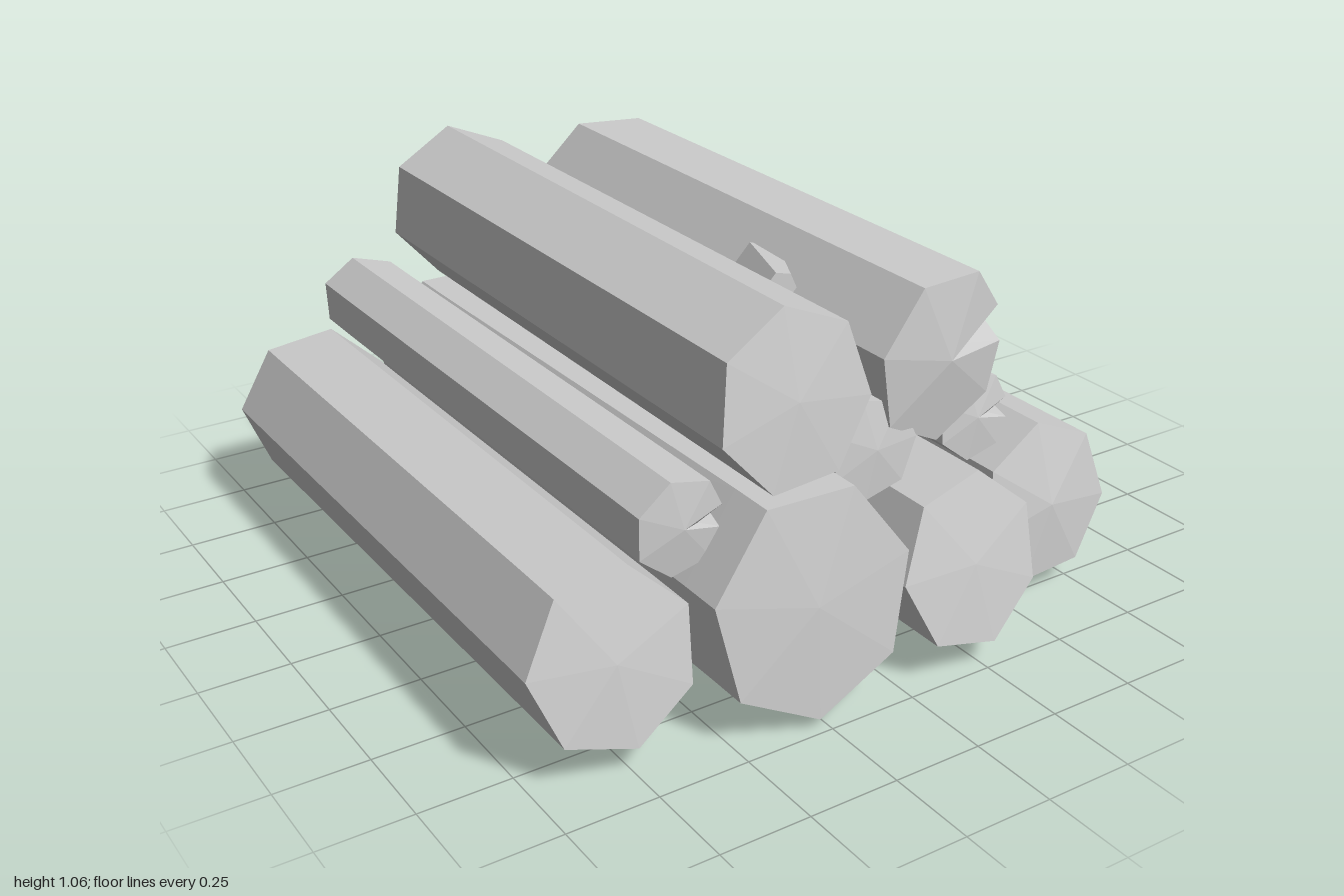
import * as THREE from 'three';

const SIDES = 7;
const material = new THREE.MeshStandardMaterial({ color: 0xcccccc, flatShading: true });

// Seven-sided outline, clockwise seen from the front; phase is the angle of corner 0 in degrees
function heptagon(cx, cy, rx, ry, phase) {
  return Array.from({ length: SIDES }, (_, i) => {
    const a = THREE.MathUtils.degToRad(phase) - (2 * Math.PI * i) / SIDES;
    return [cx + rx * Math.cos(a), cy + ry * Math.sin(a)];
  });
}

// Replace corner k by three points so that the middle one can be pulled inwards as a split
function splitCorner(points, k) {
  const p = points[k];
  const toward = (q) => [p[0] + (q[0] - p[0]) * 0.3, p[1] + (q[1] - p[1]) * 0.3];
  const out = points.slice();
  out.splice(k, 1, toward(points[(k + SIDES - 1) % SIDES]), p, toward(points[(k + 1) % SIDES]));
  return out;
}

// A log: outline swept from front to back, with slanted, slightly domed ends and an optional split
function makeLog(name, { cx, cy, rx, ry = rx, phase = 0, front, back, frontTilt = [0, 0],
  backTilt = [0, 0], shift = [0, 0], split = -1, splitEnd = 'front', dome = 0.015 }) {
  const outline = heptagon(cx, cy, rx, ry, phase);
  const pts = split >= 0 ? splitCorner(outline, split) : outline;
  const n = pts.length;

  // One ring of corners; t = 0 at the front end, 1 at the back end
  const ring = (t, inset, isSplit) => pts.map(([x, y], i) => {
    const pull = isSplit && i === split + 1 ? 0.35 : 1;
    const dx = (x - cx) * pull, dy = (y - cy) * pull;
    const tilt = t === 0 ? frontTilt : backTilt;
    const z = (t === 0 ? front - inset : back + inset) + tilt[0] * dx + tilt[1] * dy;
    return [cx + dx + shift[0] * t, cy + dy + shift[1] * t, z];
  });
  const hasSplit = split >= 0;
  const rings = [
    ring(0, 0, hasSplit && splitEnd === 'front'), ring(0, 0.13, false),
    ring(1, 0.13, false), ring(1, 0, hasSplit && splitEnd === 'back'),
  ];
  const frontCentre = [cx, cy, front + dome];
  const backCentre = [cx + shift[0], cy + shift[1], back - dome];

  const verts = [];
  const tri = (...corners) => corners.forEach((v) => verts.push(...v));
  for (let i = 0; i < n; i++) {
    const j = (i + 1) % n;
    for (let r = 0; r < 3; r++) {
      const f = rings[r], b = rings[r + 1];
      tri(b[i], f[i], f[j]);
      tri(b[i], f[j], b[j]);
    }
    tri(frontCentre, rings[0][j], rings[0][i]);
    tri(backCentre, rings[3][i], rings[3][j]);
  }
  const geo = new THREE.BufferGeometry();
  geo.setAttribute('position', new THREE.Float32BufferAttribute(verts, 3));
  geo.computeVertexNormals();
  const mesh = new THREE.Mesh(geo, material);
  mesh.name = name;
  return mesh;
}

// A cut branch stub tapering from base to tip
function makeStub(name, base, tip, baseRadius, tipRadius) {
  const a = new THREE.Vector3(...base), b = new THREE.Vector3(...tip);
  const dir = b.clone().sub(a);
  const mesh = new THREE.Mesh(
    new THREE.CylinderGeometry(tipRadius, baseRadius, dir.length(), 6), material);
  mesh.position.copy(a).add(b).multiplyScalar(0.5);
  mesh.quaternion.setFromUnitVectors(new THREE.Vector3(0, 1, 0), dir.normalize());
  mesh.name = name;
  return mesh;
}

export function createModel() {
  const group = new THREE.Group();
  group.name = 'logPile';
  const addLog = (name, spec) => group.add(makeLog(name, spec));

  // Bottom row
  addLog('bottomLogOuterRight', { cx: -0.777, cy: 0.295, rx: 0.225, ry: 0.228, phase: 22,
    front: 0.85, back: -0.91, frontTilt: [0.05, -0.2], backTilt: [0.1, 0], shift: [0, -0.01] });
  addLog('bottomLogLarge', { cx: -0.275, cy: 0.333, rx: 0.283, ry: 0.308, phase: 13,
    front: 0.95, back: -0.92, frontTilt: [0.05, -0.1], shift: [0, -0.025],
    split: 3, splitEnd: 'back' });
  addLog('bottomLogInnerLeft', { cx: 0.222, cy: 0.295, rx: 0.222, ry: 0.23, phase: 25.7,
    front: 0.945, back: -0.9, frontTilt: [-0.03, -0.23], shift: [0, -0.015] });
  addLog('bottomLogOuterLeft', { cx: 0.642, cy: 0.268, rx: 0.217, ry: 0.225, phase: -9,
    front: 0.76, back: -0.92, frontTilt: [0, -0.15], backTilt: [-0.06, 0], dome: 0.03 });

  // Top row
  addLog('topLogRight', { cx: -0.27, cy: 0.83, rx: 0.222, ry: 0.23, phase: -9,
    front: 0.845, back: -0.91, frontTilt: [0, -0.15], backTilt: [0, -0.05] });
  addLog('topLogLeft', { cx: 0.257, cy: 0.783, rx: 0.232, phase: 11, front: 0.755, back: -0.93,
    frontTilt: [-0.15, 0.03], backTilt: [0.15, 0.13], split: 0, dome: 0.03 });

  // Thin logs lying in the gaps
  addLog('thinLogRight', { cx: -0.56, cy: 0.56, rx: 0.128, front: 0.8, back: -0.955,
    backTilt: [0.25, -0.1], shift: [-0.01, 0], split: 0 });
  addLog('thinLogMiddle', { cx: 0.03, cy: 0.595, rx: 0.135, front: 0.77, back: -0.88,
    frontTilt: [0, -0.1] });
  addLog('thinLogLeft', { cx: 0.43, cy: 0.55, rx: 0.122, front: 0.69, back: -0.8,
    frontTilt: [0, -0.1], backTilt: [0, -0.15], shift: [0, 0.01], split: 0 });

  // Branch stubs
  group.add(makeStub('outerBranchStub', [0.8, 0.24, -0.53], [0.965, 0.27, -0.765], 0.11, 0.042));
  group.add(makeStub('topBranchStub', [0.12, 0.86, 0.14], [0.03, 0.895, 0.365], 0.075, 0.04));
  return group;
}
